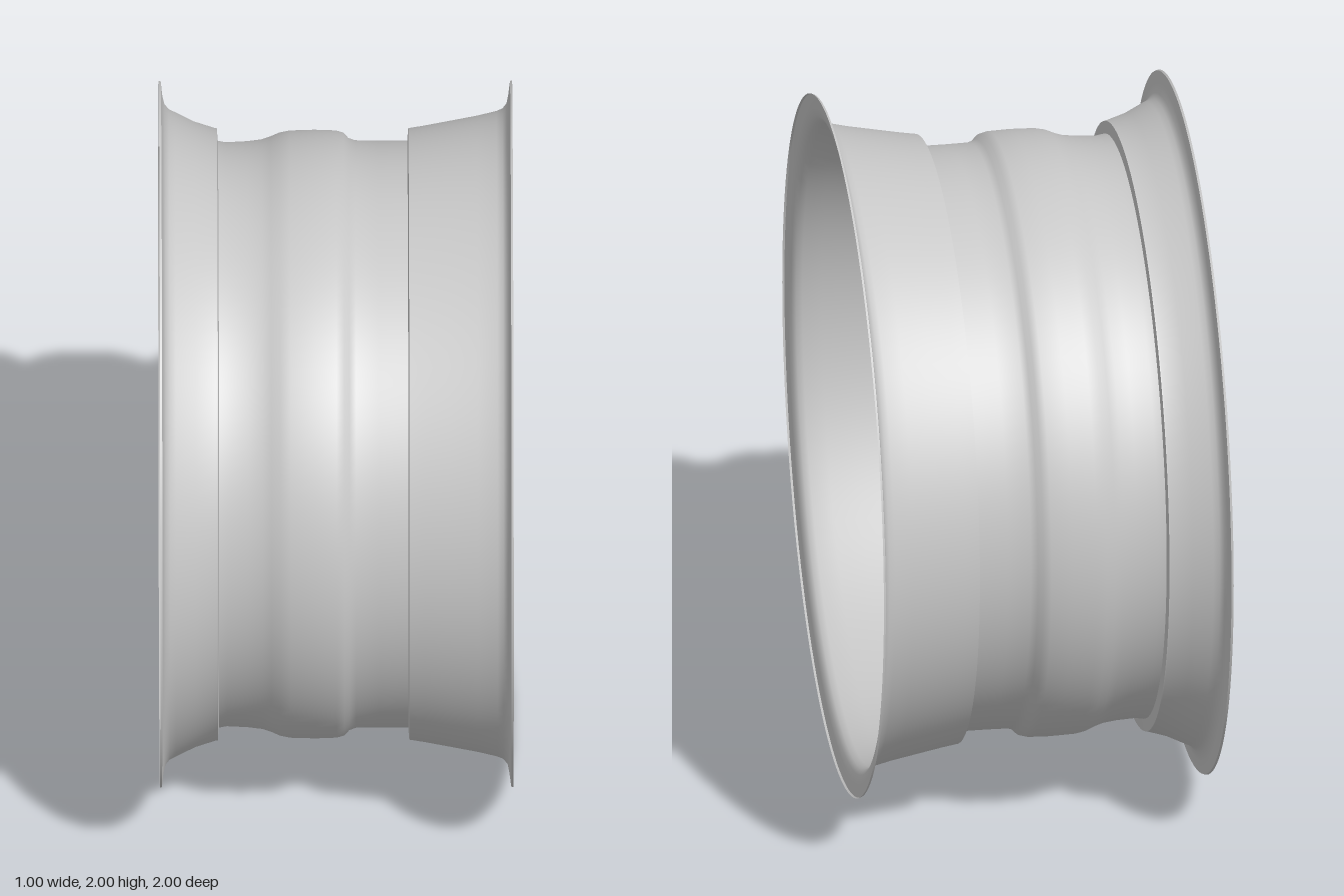
import * as THREE from 'three';
import { toCreasedNormals } from 'three/addons/utils/BufferGeometryUtils.js';

const FRONT = 0.256, RING_FRONT = 0.222, RING_BACK = 0.208;

const v2 = pts => pts.map(([x, y]) => new THREE.Vector2(x, y));
const turn = (p, a) => p.clone().rotateAround(new THREE.Vector2(), a);
const polar = (r, a) => new THREE.Vector2(r * Math.cos(a), r * Math.sin(a));
const deg = THREE.MathUtils.degToRad;

export function createModel() {
  const silver = new THREE.MeshStandardMaterial({ color: 0xc8c8c8, side: THREE.DoubleSide });
  silver.name = 'silver';
  const wheel = new THREE.Group();
  wheel.name = 'wheel';

  function add(name, geometry, x = 0, y = 0, z = 0) {
    const mesh = new THREE.Mesh(geometry, silver);
    mesh.name = name;
    mesh.position.set(x, y, z);
    wheel.add(mesh);
    return mesh;
  }
  // Lathe about the local z axis; profile points are [radius, z]
  function lathe(name, profile, x = 0, y = 0, segments = 32) {
    const g = new THREE.LatheGeometry(v2(profile), segments);
    g.rotateX(Math.PI / 2);
    return add(name, toCreasedNormals(g, 0.7), x, y);
  }

  // Barrel with flanges, bead seats and stepped well
  lathe('rim', [
    [1, -0.5], [0.998, -0.494], [0.96, -0.49], [0.935, -0.484], [0.92, -0.472], [0.912, -0.455],
    [0.885, -0.4], [0.866, -0.34], [0.866, -0.336], [0.83, -0.333], [0.826, -0.31],
    [0.829, -0.25], [0.834, -0.21], [0.842, -0.185], [0.853, -0.16], [0.859, -0.13], [0.861, -0.06],
    [0.859, 0], [0.853, 0.022], [0.838, 0.036], [0.831, 0.055], [0.83, 0.12], [0.83, 0.203],
    [0.865, 0.206], [0.872, 0.25], [0.885, 0.32], [0.9, 0.4], [0.913, 0.455],
    [0.92, 0.472], [0.935, 0.484], [0.96, 0.489], [0.998, 0.494], [1, 0.5],
  ], 0, 0, 120);

  // One window: edge on the face, foot of its slanted wall, and the through hole
  const windowEdge = new THREE.SplineCurve(v2([
    [-0.29, 0.818], [-0.27, 0.72], [-0.25, 0.62], [-0.19, 0.53], [-0.09, 0.482], [0, 0.475],
    [0.1, 0.498], [0.2, 0.57], [0.29, 0.68], [0.36, 0.79],
  ])).getPoints(40);
  const windowFoot = new THREE.SplineCurve(v2([
    [-0.275, 0.822], [-0.258, 0.72], [-0.24, 0.62], [-0.18, 0.535], [-0.09, 0.487], [0, 0.48],
    [0.08, 0.505], [0.16, 0.575], [0.235, 0.68], [0.305, 0.81],
  ])).getPoints(40);
  const holeEdge = new THREE.SplineCurve(v2([
    [-0.255, 0.67], [-0.24, 0.62], [-0.18, 0.535], [-0.09, 0.487], [0, 0.48], [0.08, 0.505],
    [0.155, 0.575], [0.2, 0.665], [0.208, 0.71], [0.18, 0.737], [0.1, 0.753], [0, 0.76],
    [-0.1, 0.757], [-0.2, 0.744], [-0.25, 0.72], [-0.255, 0.67],
  ])).getPoints(75).slice(0, -1);

  const bolts = [], vents = [];
  for (let i = 0; i < 5; i++) {
    bolts.push(polar(0.203, deg(64.5 + 72 * i)));
    vents.push(polar(0.211, deg(100 + 72 * i)));
  }
  const circle = (c, r) => new THREE.Path().absarc(c.x, c.y, r, 0, Math.PI * 2, true);
  const hubHoles = () => [
    ...bolts.map(c => circle(c, 0.056)),
    ...vents.map(c => circle(c, 0.02)),
    circle(new THREE.Vector2(), 0.102),
  ];

  // Six-spoke face
  const outline = [];
  for (let i = 0; i < 6; i++) {
    const a = i * Math.PI / 3;
    outline.push(...windowEdge.map(p => turn(p, a)).reverse());
    for (const d of [114, 118, 122]) outline.push(polar(0.87, deg(d) + a));
  }
  const face = new THREE.Shape(outline);
  face.holes.push(...hubHoles());
  add('spokeFace', new THREE.ShapeGeometry(face, 24), 0, 0, FRONT);

  // Slanted walls around the windows
  for (let i = 0; i < 6; i++) {
    const pos = [], idx = [];
    windowEdge.forEach((p, k) => {
      const f = windowFoot[k];
      pos.push(p.x, p.y, FRONT, f.x, f.y, RING_FRONT);
      if (k) idx.push(2 * k - 2, 2 * k - 1, 2 * k, 2 * k, 2 * k - 1, 2 * k + 1);
    });
    const g = new THREE.BufferGeometry();
    g.setAttribute('position', new THREE.Float32BufferAttribute(pos, 3));
    g.setIndex(idx);
    g.computeVertexNormals();
    add('windowWall', g).rotation.z = i * Math.PI / 3;
  }

  // Backing disc with the smaller holes
  const disc = new THREE.Shape().absarc(0, 0, 0.865, 0, Math.PI * 2, false);
  disc.holes.push(...hubHoles());
  for (let i = 0; i < 6; i++) {
    disc.holes.push(new THREE.Path(holeEdge.map(p => turn(p, i * Math.PI / 3)).reverse()));
  }
  const discGeometry = new THREE.ExtrudeGeometry(disc, {
    depth: RING_FRONT - RING_BACK, bevelEnabled: false, curveSegments: 48,
  });
  add('backingDisc', toCreasedNormals(discGeometry, 0.6), 0, 0, RING_BACK);

  // Centre cap, with the stepped stub behind it
  lathe('centreCap', [
    [0, 0.0], [0.035, 0.0], [0.04, 0.006], [0.04, 0.07], [0.06, 0.075], [0.06, 0.14],
    [0.075, 0.145], [0.075, 0.2], [0.102, 0.205], [0.102, 0.249], [0.098, 0.249],
    [0.097, 0.257], [0, 0.257],
  ], 0, 0, 48);

  // Recessed wheel bolts
  for (const c of bolts) {
    lathe('boltSeat', [
      [0.056, RING_BACK], [0.056, 0.258], [0.059, 0.26], [0.056, 0.262], [0.049, 0.252],
      [0.046, 0.225], [0, 0.225],
    ], c.x, c.y);
    lathe('boltShank', [[0, 0.115], [0.022, 0.115], [0.026, 0.12], [0.026, 0.195], [0.056, RING_BACK]], c.x, c.y);
    const head = new THREE.CylinderGeometry(0.036, 0.04, 0.035, 6).toNonIndexed();
    head.rotateX(Math.PI / 2);
    head.computeVertexNormals();
    add('boltHead', head, c.x, c.y, 0.24);
  }

  // Linings of the small through holes
  for (const c of vents) lathe('ventLining', [[0.02, RING_BACK], [0.02, FRONT]], c.x, c.y, 24);

  // Turn the axle to x and stand the wheel on the ground
  wheel.rotation.y = Math.PI / 2;
  wheel.position.y = 1;
  const model = new THREE.Group();
  model.name = 'alloyWheel';
  model.add(wheel);
  return model;
}
